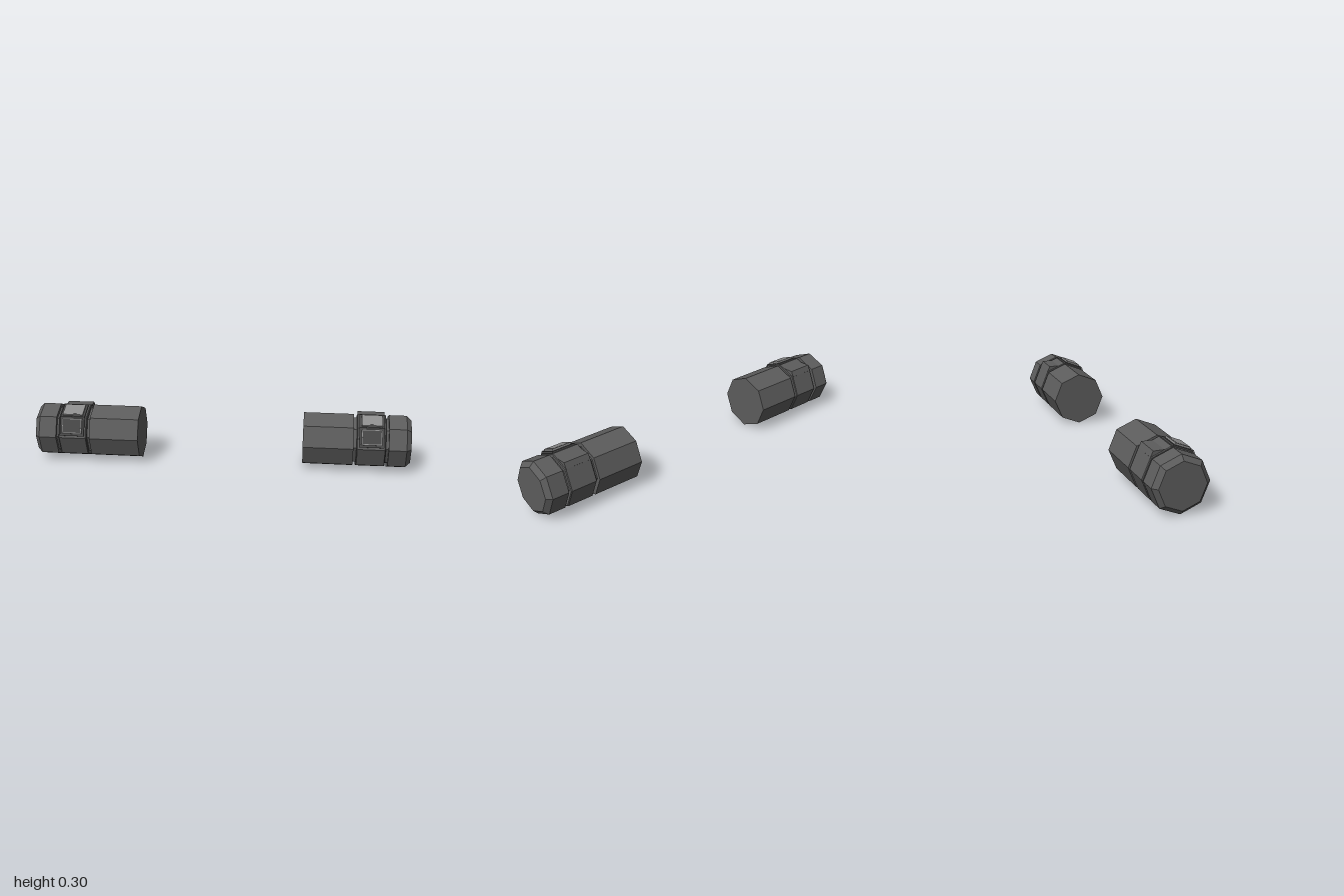
import * as THREE from 'three';

const CY = 0.147, CZ = -0.003, R = 0.145; // axis of the octagonal sleeves
const makeMat = (color) => new THREE.MeshStandardMaterial({ color, flatShading: true });
const shell = makeMat(0x5c5c5c);
const dark = makeMat(0x484848);
const light = makeMat(0x8c8c8c);

function add(parent, name, geometry, material) {
  const mesh = new THREE.Mesh(geometry, material);
  mesh.name = name;
  parent.add(mesh);
  return mesh;
}

// Closed eight-sided solid along x from [x, radius] stations, mirrored by side
function octagon(parent, name, side, stations, material) {
  const pts = stations.map(([x, r]) => new THREE.Vector2(r, side * x));
  if (side < 0) pts.reverse();
  pts.unshift(new THREE.Vector2(0, pts[0].y));
  pts.push(new THREE.Vector2(0, pts[pts.length - 1].y));
  const geo = new THREE.LatheGeometry(pts, 8).rotateZ(-Math.PI / 2);
  add(parent, name, geo, material).position.set(0, CY, CZ);
}

// Framed plate on one octagon face, shifted along the face by slide
function panel(parent, name, x, angle, slide, plateMat) {
  const g = new THREE.Group();
  g.name = name;
  g.position.set(x, CY, CZ);
  g.rotation.x = -angle;
  add(g, 'panelFrame', new THREE.BoxGeometry(0.13, 0.103, 0.03), dark).position.set(0, slide * 0.8, 0.127);
  add(g, 'panelRim', new THREE.BoxGeometry(0.108, 0.083, 0.03), light).position.set(0, slide, 0.136);
  add(g, 'panelPlate', new THREE.BoxGeometry(0.096, 0.071, 0.002), plateMat).position.set(0, slide, 0.1508);
  parent.add(g);
}

function cuff(side) {
  const g = new THREE.Group();
  g.name = side > 0 ? 'leftCuff' : 'rightCuff';
  octagon(g, 'sleeve', side, [[0.438, R], [0.701, R]], shell);
  octagon(g, 'grooveCore', side, [[0.69, 0.125], [0.89, 0.125]], shell);
  octagon(g, 'band', side, [[0.717, R - 0.004], [0.721, R], [0.864, R], [0.868, R - 0.004]], shell);
  octagon(g, 'endCap', side, [[0.883, R], [0.975, R], [1, 0.12]], shell);

  // Two plates meeting over the upper front edge of the band
  const x = side * 0.794;
  panel(g, 'frontPanel', x, Math.PI / 8, 0.009, dark);
  panel(g, 'topPanel', x, Math.PI * 3 / 8, -0.009, light);

  // Flat-topped ridge on the upper back of the band
  const s = new THREE.Shape();
  [[0.025, 0.25], [0.1, 0.24], [0.106, 0.25], [0.092, 0.279], [0.037, 0.279]]
    .forEach(([a, y], i) => (i ? s.lineTo(a, y) : s.moveTo(a, y)));
  const ridge = new THREE.ExtrudeGeometry(s, { depth: 0.142, bevelEnabled: false });
  ridge.translate(0, 0, -0.071).rotateY(Math.PI / 2);
  add(g, 'backRidge', ridge, shell).position.x = side * 0.7925;
  return g;
}

export function createModel() {
  const model = new THREE.Group();
  model.name = 'cuffPair';
  for (const side of [1, -1]) model.add(cuff(side));
  return model;
}
